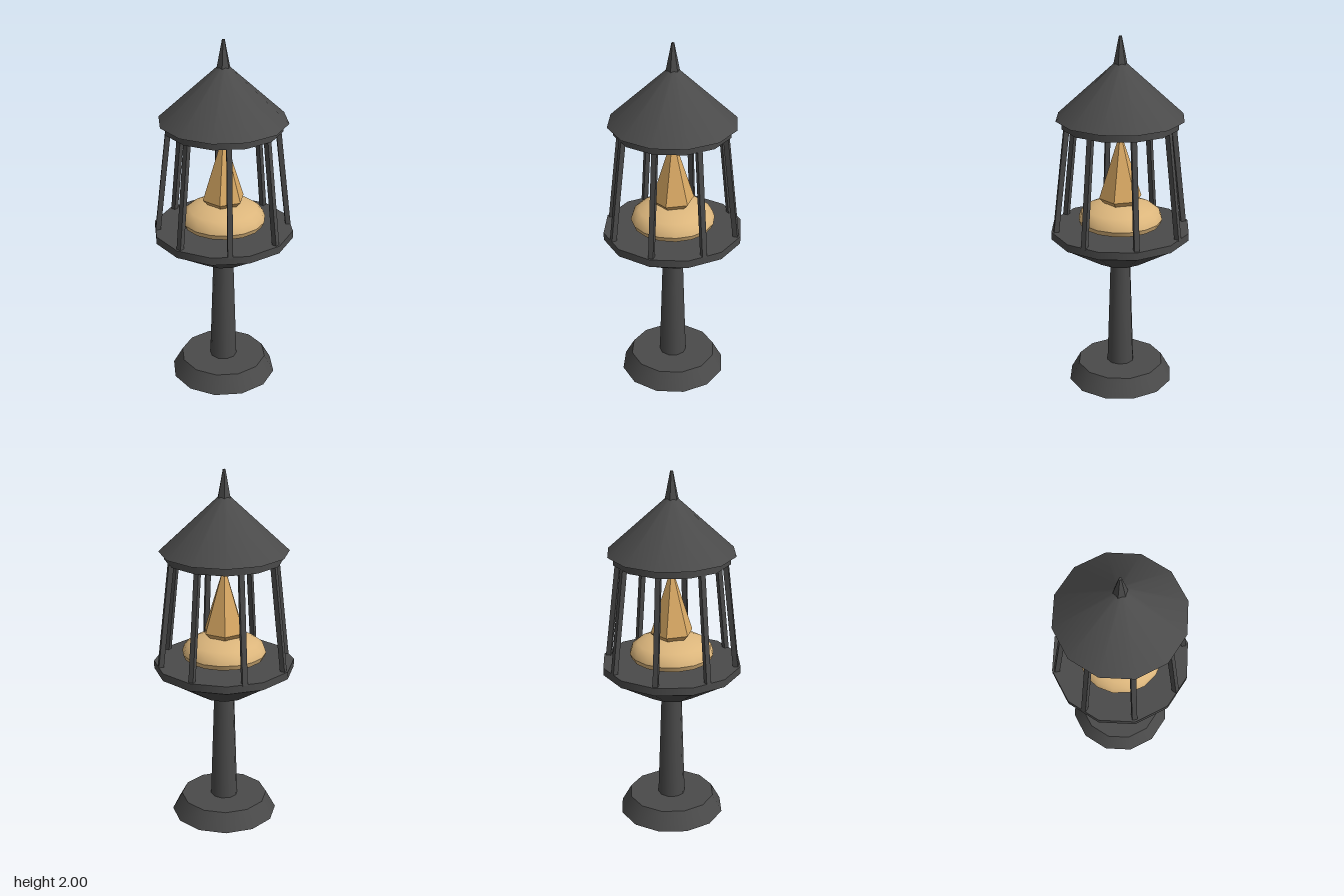
import * as THREE from 'three';

export function createModel() {
  const iron = new THREE.MeshStandardMaterial({ color: 0x4a4a4a });
  iron.name = 'dark iron';
  const flameMat = new THREE.MeshStandardMaterial({ color: 0xd9a964 });
  flameMat.name = 'amber flame';
  const glowMat = new THREE.MeshStandardMaterial({ color: 0xdcb67c });
  glowMat.name = 'pale amber';

  const model = new THREE.Group();
  model.name = 'lantern';

  const add = (name, geometry, material, parent = model) => {
    const mesh = new THREE.Mesh(geometry, material);
    mesh.name = name;
    parent.add(mesh);
    return mesh;
  };

  // Tapered round part spanning y0 to y1
  const taper = (name, r0, y0, r1, y1, sides = 12, material = iron, flat = false) => {
    let g = new THREE.CylinderGeometry(r1, r0, y1 - y0, sides);
    g.translate(0, (y0 + y1) / 2, 0);
    if (flat) {
      g = g.toNonIndexed();
      g.computeVertexNormals();
    }
    return add(name, g, material);
  };

  // Foot, post and bowl
  taper('foot', 0.3, 0, 0.245, 0.1);
  taper('post', 0.077, 0.1, 0.056, 0.745, 10);
  taper('bowl', 0.145, 0.74, 0.385, 0.89);
  taper('bowlRim', 0.39, 0.89, 0.39, 0.933);

  // Eight slanted square bars around the cage
  const cage = new THREE.Group();
  cage.name = 'cage';
  model.add(cage);
  const y0 = 0.925, y1 = 1.525, rLow = 0.364, rHigh = 0.294;
  const lean = Math.atan2(rLow - rHigh, y1 - y0);
  for (let i = 0; i < 8; i++) {
    const g = new THREE.BoxGeometry(0.028, Math.hypot(y1 - y0, rLow - rHigh), 0.028);
    g.rotateX(-lean);
    g.translate(0, (y0 + y1) / 2, (rLow + rHigh) / 2);
    g.rotateY((i * Math.PI) / 4);
    add('cageBar', g, iron, cage);
  }

  // Roof and finial
  taper('roofRing', 0.322, 1.515, 0.322, 1.56);
  taper('roof', 0.353, 1.56, 0.03, 1.858);
  taper('finial', 0.038, 1.85, 0.008, 2, 6, iron, true);

  // Floating domed burner with a crisp lower edge
  const dome = [[0.234, 0.985], [0.222, 1.02], [0.19, 1.045], [0.14, 1.066], [0.08, 1.08], [0, 1.085]];
  add('burnerDome', new THREE.LatheGeometry(dome.map(([r, y]) => new THREE.Vector2(r, y)), 16), glowMat);
  taper('burnerBase', 0.222, 0.957, 0.234, 0.985, 16, glowMat);

  // Faceted six-sided flame
  taper('flameBase', 0.085, 1.07, 0.12, 1.107, 6, flameMat, true);
  taper('flame', 0.12, 1.107, 0.002, 1.475, 6, flameMat, true);

  return model;
}
